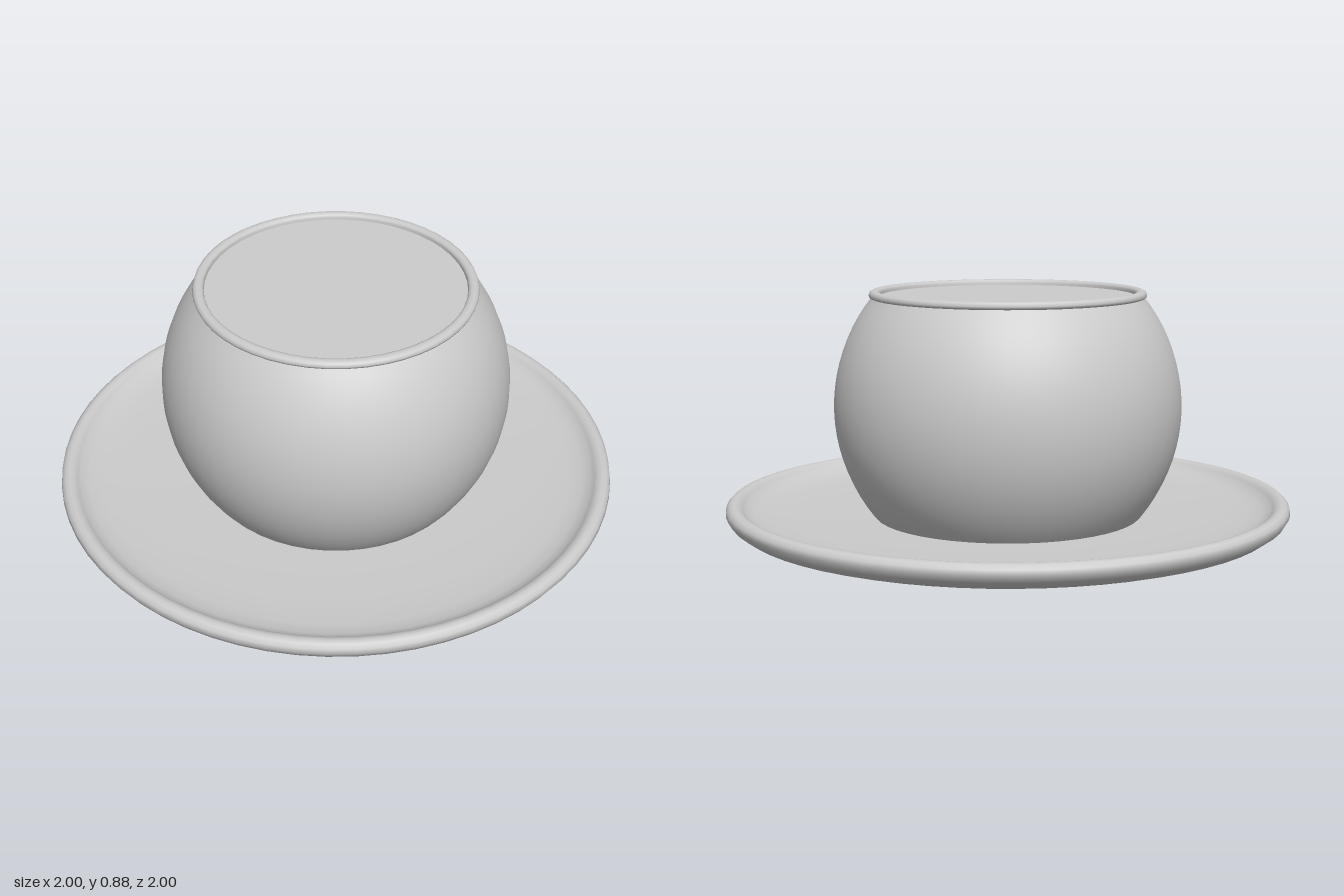
import * as THREE from 'three';

const material = new THREE.MeshStandardMaterial({ color: 0xcccccc });

// Turns a list of [radius, height] points, outside going up, into a named mesh
function turned(name, points, segments) {
  const profile = points.map(([r, y]) => new THREE.Vector2(r, y));
  const mesh = new THREE.Mesh(new THREE.LatheGeometry(profile, segments), material);
  mesh.name = name;
  return mesh;
}

export function createModel() {
  const group = new THREE.Group();
  group.name = 'cupOnSaucer';

  // Saucer: low foot, shallow underside, rounded rim, gently dished floor
  group.add(turned('saucer', [
    [0, 0.003], [0.34, 0.003], [0.36, 0.005], [0.37, 0.013], [0.39, 0.014],
    [0.55, 0.016], [0.75, 0.032], [0.91, 0.047], [0.95, 0.06], [0.985, 0.085],
    [1.0, 0.11], [0.997, 0.128], [0.985, 0.14], [0.97, 0.144], [0.955, 0.141],
    [0.942, 0.131], [0.93, 0.118], [0.9, 0.104], [0.85, 0.094], [0.75, 0.087],
    [0.6, 0.082], [0.45, 0.08], [0, 0.08],
  ], 64));

  // Bowl: a sphere cut off at the saucer and at the mouth
  const radius = 0.615, centre = 0.47, steps = 20;
  const bowl = [];
  for (let i = 0; i <= steps; i++) {
    const a = THREE.MathUtils.lerp(Math.asin(-0.41 / radius), Math.asin(0.39 / radius), i / steps);
    bowl.push([radius * Math.cos(a), centre + radius * Math.sin(a)]);
  }
  group.add(turned('bowl', bowl, 48));

  // Rounded lip, slightly overhanging the bowl
  group.add(turned('lip', [
    [0.45, 0.85], [0.476, 0.852], [0.486, 0.857], [0.489, 0.865], [0.485, 0.875],
    [0.476, 0.88], [0.463, 0.88], [0.454, 0.876], [0.45, 0.868], [0.45, 0.85],
  ], 48));

  // Flat surface of the drink
  const drink = new THREE.Mesh(new THREE.CircleGeometry(0.455, 48), material);
  drink.name = 'drinkSurface';
  drink.rotation.x = -Math.PI / 2;
  drink.position.y = 0.86;
  group.add(drink);

  return group;
}
